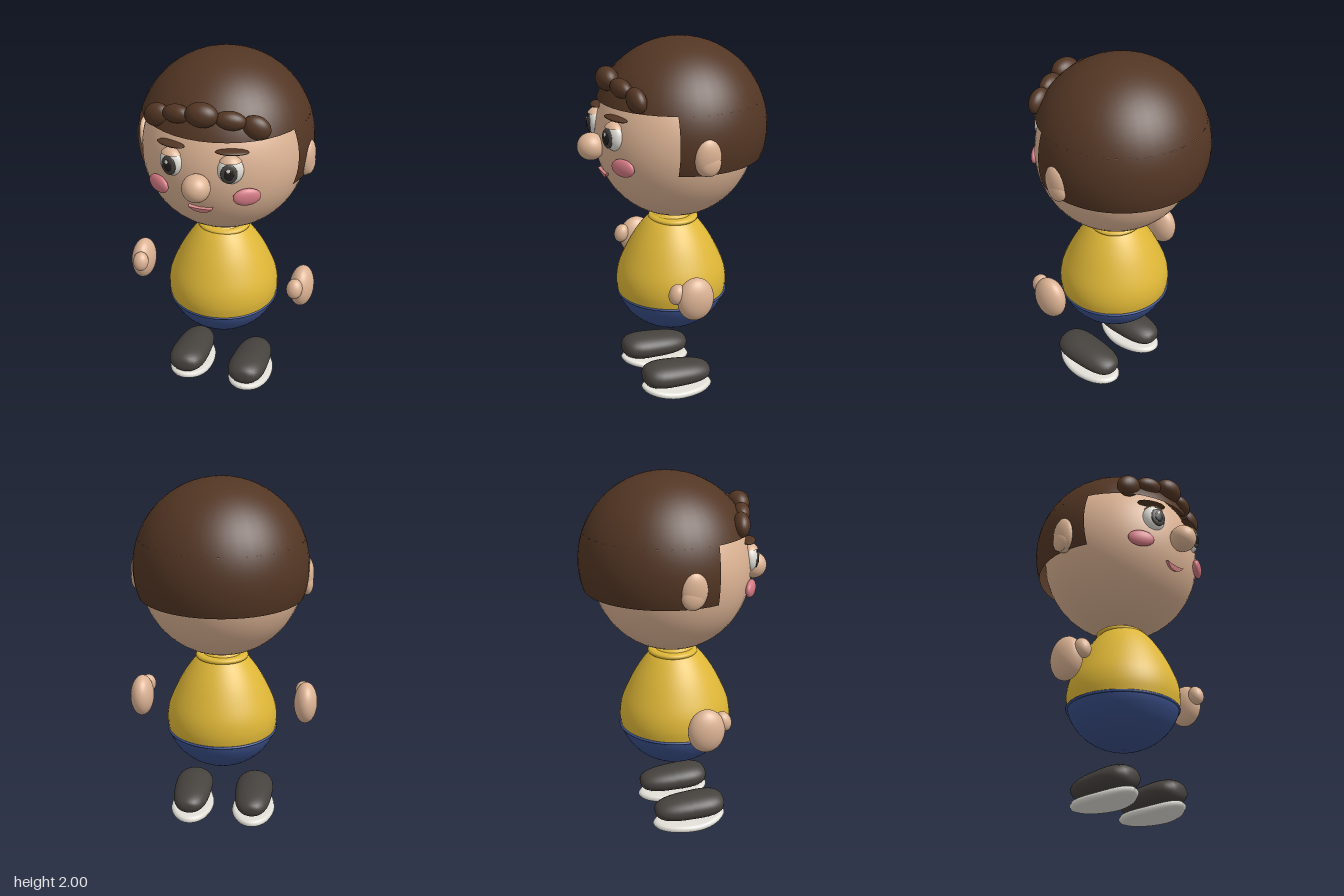
import * as THREE from 'three';

const mat = (name, color) => Object.assign(new THREE.MeshStandardMaterial({ color }), { name });

export function createModel() {
  const skin = mat('skin', 0xdcb394);
  const brown = mat('hair brown', 0x533624);
  const yellow = mat('shirt yellow', 0xdfb737);
  const navy = mat('shorts navy', 0x3a4f88);
  const charcoal = mat('shoe charcoal', 0x46423e);
  const white = mat('off white', 0xe2e0d8);
  const pink = mat('cheek pink', 0xd47a84);
  const lip = mat('lip pink', 0xdd8a8a);
  const black = mat('pupil black', 0x221f1e);
  brown.side = yellow.side = navy.side = skin.side = THREE.DoubleSide;

  const model = new THREE.Group();
  model.name = 'boy';

  const add = (name, geo, material, pos = [0, 0, 0], rot = [0, 0, 0], parent = model) => {
    const m = new THREE.Mesh(geo, material);
    m.name = name;
    m.position.set(...pos);
    m.rotation.set(...rot);
    parent.add(m);
    return m;
  };
  const ball = (rx, ry, rz, seg = 32) => new THREE.SphereGeometry(1, seg, seg * 0.75).scale(rx, ry, rz);
  const group = (name, pos, rot = [0, 0, 0]) => {
    const g = new THREE.Group();
    g.name = name;
    g.position.set(...pos);
    g.rotation.set(...rot);
    model.add(g);
    return g;
  };

  // Head and nose
  add('head', ball(0.44, 0.445, 0.43, 48), skin, [0, 1.48, -0.02]);
  add('nose', ball(0.073, 0.073, 0.073), skin, [0, 1.46, 0.45]);

  // Hair: a cap above the forehead, plus a band round the sides and back
  const R = 0.47, top = 0.16, bottom = -0.15, front = 0.17;
  const hair = group('hair', [0, 1.53, -0.05]);
  add('hairCap', new THREE.SphereGeometry(R, 40, 14, 0, Math.PI * 2, 0, Math.acos(top / R)), brown, [0, 0, 0], [0, 0, 0], hair);
  const band = new THREE.PlaneGeometry(1, 1, 32, 10);
  const p = band.attributes.position, n = band.attributes.normal;
  for (let i = 0; i < p.count; i++) {
    const y = THREE.MathUtils.lerp(bottom, top, p.getY(i) + 0.5);
    const r = Math.sqrt(R * R - y * y);
    const half = Math.PI - Math.acos(front / r);
    const a = p.getX(i) * 2 * half;
    const x = -Math.sin(a) * r, z = -Math.cos(a) * r;
    p.setXYZ(i, x, y, z);
    n.setXYZ(i, x / R, y / R, z / R);
  }
  add('hairBand', band, brown, [0, 0, 0], [0, 0, 0], hair);

  // Curls along the forehead
  add('middleCurl', ball(0.085, 0.063, 0.058, 24), brown, [0, 1.813, 0.353]);

  for (const s of [1, -1]) {
    const side = s > 0 ? 'left' : 'right';
    add(side + 'InnerCurl', ball(0.078, 0.048, 0.045, 24), brown, [s * 0.14, 1.79, 0.325], [0, s * 0.25, s * -0.12]);
    add(side + 'OuterCurl', ball(0.075, 0.06, 0.045, 24), brown, [s * 0.26, 1.752, 0.285], [0, s * 0.2, s * -0.5]);

    // Ear with a raised inner fold
    add(side + 'Ear', ball(0.042, 0.102, 0.072), skin, [s * 0.45, 1.475, -0.022], [0, 0, s * -0.08]);
    add(side + 'EarFold', ball(0.032, 0.066, 0.06), skin, [s * 0.46, 1.445, -0.03]);

    // Eye, built facing slightly outwards
    const eye = group(side + 'Eye', [s * 0.155, 1.547, 0.372], [0, s * 0.3, 0]);
    add('eyeWhite', ball(0.066, 0.074, 0.042), white, [0, 0, 0], [0, 0, 0], eye);
    add('iris', ball(0.043, 0.052, 0.012), charcoal, [s * -0.008, -0.005, 0.035], [0, 0, 0], eye);
    add('pupil', ball(0.024, 0.031, 0.006), black, [s * -0.008, -0.005, 0.0445], [0, 0, 0], eye);
    add('eyeGlint', ball(0.01, 0.011, 0.004, 16), white, [s * -0.008 - 0.004, 0.017, 0.0475], [0, 0, 0], eye);
    const lid = new THREE.SphereGeometry(1, 32, 10, 0, Math.PI * 2, 0, 0.88).scale(0.071, 0.079, 0.056);
    add('eyelid', lid, skin, [0, 0, 0], [0, 0, 0], eye);

    add(side + 'Brow', ball(0.084, 0.012, 0.035), brown, [s * 0.16, 1.642, 0.362], [0, s * 0.35, s * -0.03]);
    add(side + 'Cheek', ball(0.073, 0.047, 0.024), pink, [s * 0.235, 1.4, 0.353], [0, s * 0.55, 0]);

    // Hand and thumb
    add(side + 'Hand', ball(0.066, 0.119, 0.1), skin, [s * 0.469, 0.715, 0.045]);
    add(side + 'Thumb', ball(0.044, 0.056, 0.042), skin, [s * 0.45, 0.75, 0.143], [-0.3, 0, 0]);

    // Shoe upper: an ellipsoid with blunter ends
    const upper = ball(1, 1, 1);
    const u = upper.attributes.position;
    for (let i = 0; i < u.count; i++) {
      const z = u.getZ(i), r = Math.hypot(u.getX(i), u.getY(i));
      const k = 1 / Math.cbrt(Math.abs(z) ** 3 + r ** 3);
      const taper = 1 + 0.1 * z * k;
      u.setXYZ(i, u.getX(i) * k * 0.108 * taper, u.getY(i) * k * 0.071 * taper, z * k * 0.2);
    }
    upper.computeVertexNormals();
    add(side + 'Shoe', upper, charcoal, [s * 0.181, 0.117, 0.037], [-0.06, 0, 0]);

    // Sole: a rounded slab whose toe curls up
    const soleProfile = [[0, 0], [0.85, 0], [0.95, 0.006], [1, 0.02], [0.95, 0.034], [0.85, 0.04], [0, 0.04]];
    const sole = new THREE.LatheGeometry(soleProfile.map(([x, y]) => new THREE.Vector2(x, y)), 40);
    sole.scale(0.125, 1, 0.21);
    const q = sole.attributes.position;
    for (let i = 0; i < q.count; i++) {
      const toe = Math.max(0, q.getZ(i)) / 0.21;
      q.setY(i, q.getY(i) + 0.033 * toe * toe);
    }
    sole.computeVertexNormals();
    add(side + 'Sole', sole, white, [s * 0.181, 0.005, 0.035]);
  }

  // Mouth
  const smile = new THREE.Shape();
  smile.moveTo(-0.064, 0.016);
  smile.quadraticCurveTo(-0.02, 0.008, 0, 0.01);
  smile.quadraticCurveTo(0.02, 0.008, 0.064, 0.016);
  smile.quadraticCurveTo(0.04, -0.018, 0, -0.018);
  smile.quadraticCurveTo(-0.04, -0.018, -0.064, 0.016);
  const mouth = new THREE.ExtrudeGeometry(smile, { depth: 0.022, bevelEnabled: false, curveSegments: 10 });
  add('mouth', mouth, lip, [0, 1.31, 0.369], [0.35, 0, 0]);

  // Egg-shaped body, split at the waist into shirt and shorts
  const lathe = (pts) => {
    const curve = new THREE.SplineCurve(pts.map(([x, y]) => new THREE.Vector2(x, y)));
    return new THREE.LatheGeometry(curve.getPoints(28), 48);
  };
  add('shirt', lathe([[0.303, 0.572], [0.31, 0.64], [0.297, 0.72], [0.255, 0.82], [0.205, 0.91], [0.145, 0.99], [0.08, 1.045]]), yellow);
  add('shorts', lathe([[0.001, 0.35], [0.09, 0.362], [0.175, 0.4], [0.245, 0.46], [0.287, 0.525], [0.303, 0.575]]), navy);
  add('waistband', new THREE.TorusGeometry(0.304, 0.007, 10, 48), navy, [0, 0.572, -0.003], [Math.PI / 2 + 0.01, 0, 0]);
  const collar = new THREE.TorusGeometry(0.118, 0.028, 14, 40).scale(1, 0.94, 0.6);
  add('collar', collar, yellow, [0, 1.01, -0.012], [Math.PI / 2, 0, 0]);

  return model;
}
